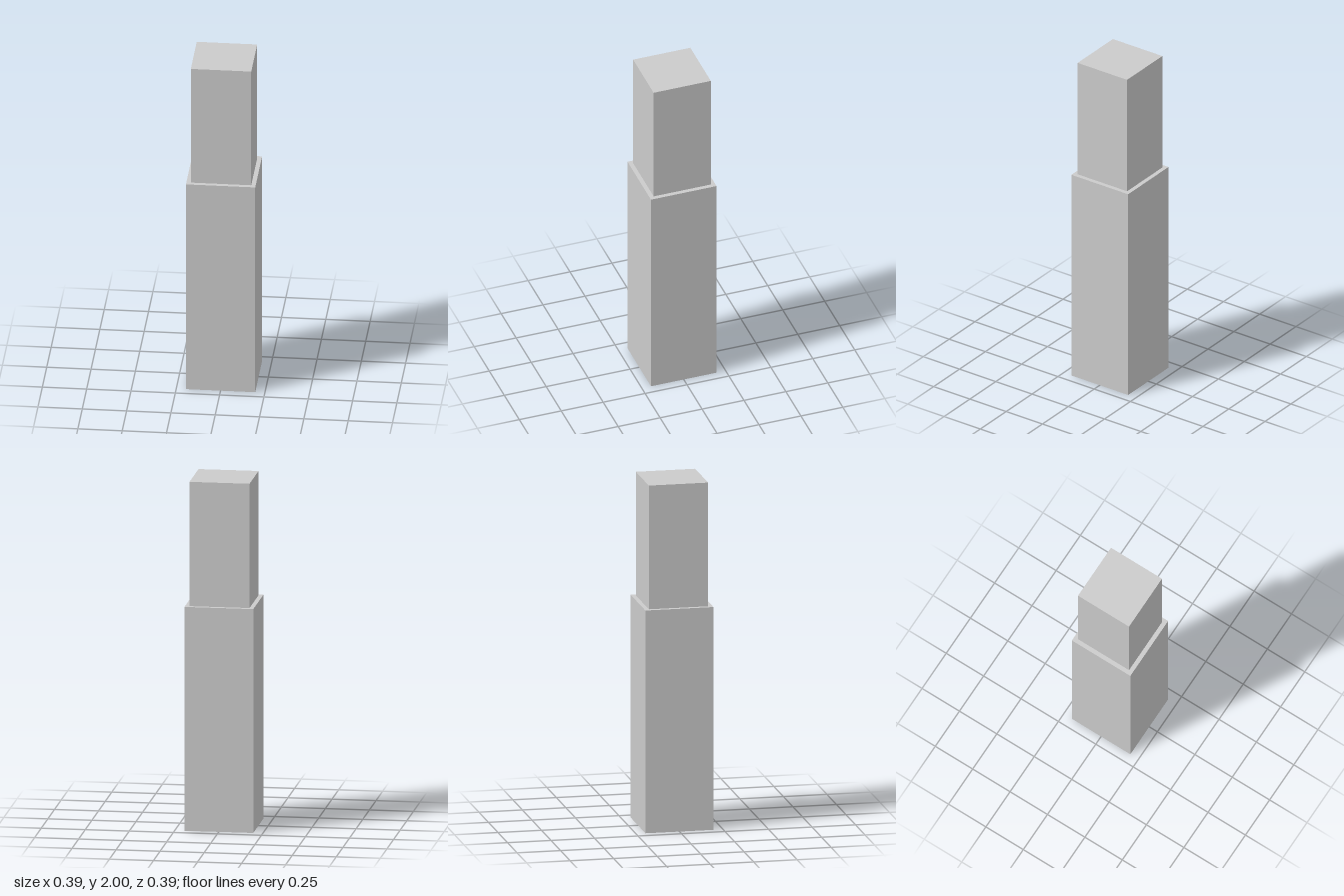
import * as THREE from 'three';

export function createModel() {
  const group = new THREE.Group();
  group.name = 'steppedTower';
  const material = new THREE.MeshStandardMaterial({ color: 0xcccccc });

  // Square block standing between two heights
  function addBlock(name, width, bottom, top) {
    const block = new THREE.Mesh(new THREE.BoxGeometry(width, top - bottom, width), material);
    block.name = name;
    block.position.y = (bottom + top) / 2;
    group.add(block);
  }

  addBlock('lowerBlock', 0.391, 0, 1.286);
  addBlock('upperBlock', 0.341, 1.286, 2);
  return group;
}
